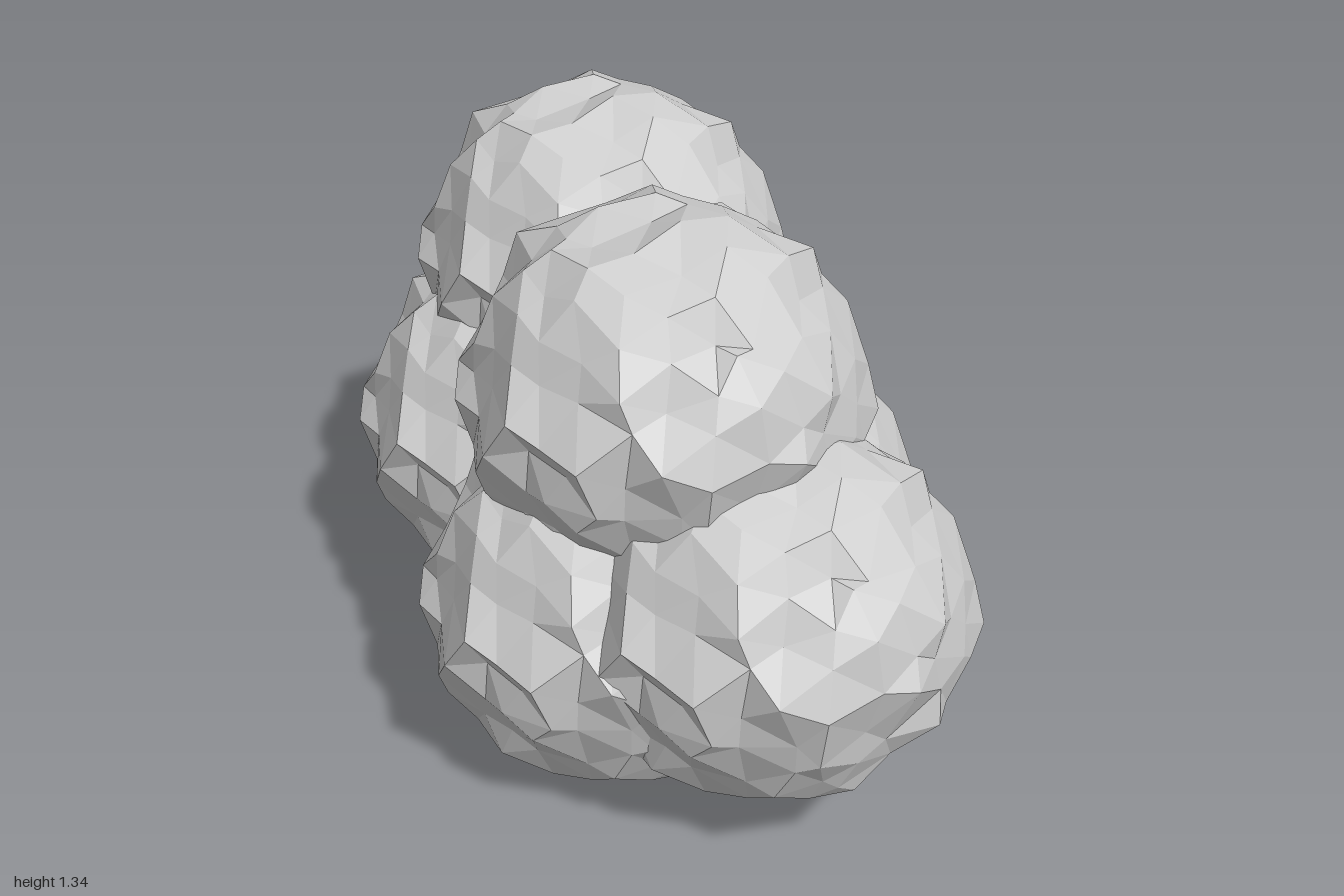
import * as THREE from 'three';

// Small seeded random generator
function seeded(seed) {
  let s = seed;
  return () => {
    s = (s * 1664525 + 1013904223) % 4294967296;
    return s / 4294967296;
  };
}

// Faceted ball whose shared corners are nudged in every direction
function roughBall(radius, jitter) {
  const geometry = new THREE.IcosahedronGeometry(radius, 4);
  const position = geometry.attributes.position;
  const random = seeded(11);
  const corners = new Map();
  const p = new THREE.Vector3();
  for (let i = 0; i < position.count; i++) {
    p.fromBufferAttribute(position, i);
    const key = p.toArray().map((v) => Math.round(v * 1000)).join();
    if (!corners.has(key)) {
      const nudge = new THREE.Vector3(random() - 0.5, random() - 0.5, random() - 0.5);
      corners.set(key, p.clone().addScaledVector(nudge, 2 * jitter));
    }
    p.copy(corners.get(key));
    position.setXYZ(i, p.x, p.y, p.z);
  }
  geometry.computeVertexNormals();
  return geometry;
}

export function createModel() {
  const group = new THREE.Group();
  group.name = 'puffCluster';
  const grey = new THREE.MeshStandardMaterial({ color: 0xcccccc, flatShading: true });
  grey.name = 'pale grey';
  const ball = roughBall(0.418, 0.028);

  // Overlapping puffs: two on top, five below
  const puffs = [
    ['upperFrontPuff', -0.07, 0.92, 0.295],
    ['upperBackPuff', 0.1, 0.92, -0.375],
    ['lowerFrontPuff', 0.05, 0.51, 0.57],
    ['lowerFrontRightPuff', -0.17, 0.415, 0.275],
    ['lowerLeftPuff', 0.18, 0.5, 0.125],
    ['lowerBackRightPuff', -0.07, 0.51, -0.39],
    ['lowerBackPuff', 0.18, 0.59, -0.57],
  ];
  for (const [name, x, y, z] of puffs) {
    const puff = new THREE.Mesh(ball, grey);
    puff.name = name;
    puff.position.set(x, y, z);
    group.add(puff);
  }
  return group;
}
